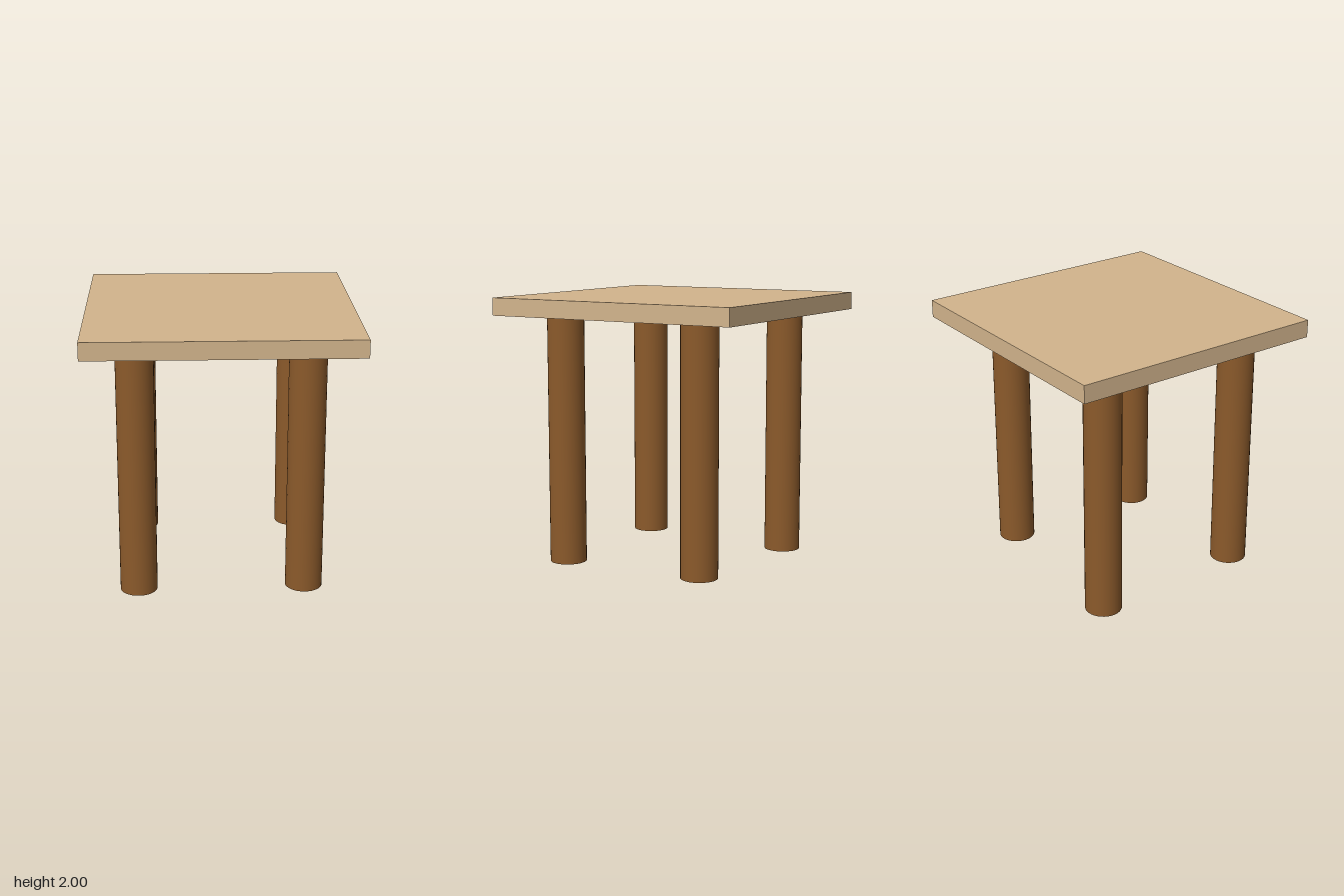
import * as THREE from 'three';

export function createModel() {
  const model = new THREE.Group();
  model.name = 'table';

  const topWood = new THREE.MeshStandardMaterial({ color: 0xd2b48c });
  const legWood = new THREE.MeshStandardMaterial({ color: 0x8b5a2b });

  // Square tabletop slab
  const size = 1.955, topY = 2, underY = 1.87;
  const tabletop = new THREE.Mesh(new THREE.BoxGeometry(size, topY - underY, size), topWood);
  tabletop.name = 'tabletop';
  tabletop.position.y = (topY + underY) / 2;
  model.add(tabletop);

  // Round legs, set by hand with slightly uneven positions and lengths
  const radius = 0.136;
  const legs = [
    { name: 'frontLeftLeg', x: 0.602, z: 0.6, foot: 0.015 },
    { name: 'frontRightLeg', x: -0.615, z: 0.627, foot: 0.015 },
    { name: 'backLeftLeg', x: 0.606, z: -0.54, foot: 0.04 },
    { name: 'backRightLeg', x: -0.624, z: -0.58, foot: 0 },
  ];
  for (const { name, x, z, foot } of legs) {
    const height = underY - foot;
    const leg = new THREE.Mesh(new THREE.CylinderGeometry(radius, radius, height, 32), legWood);
    leg.name = name;
    leg.position.set(x, foot + height / 2, z);
    model.add(leg);
  }

  return model;
}
